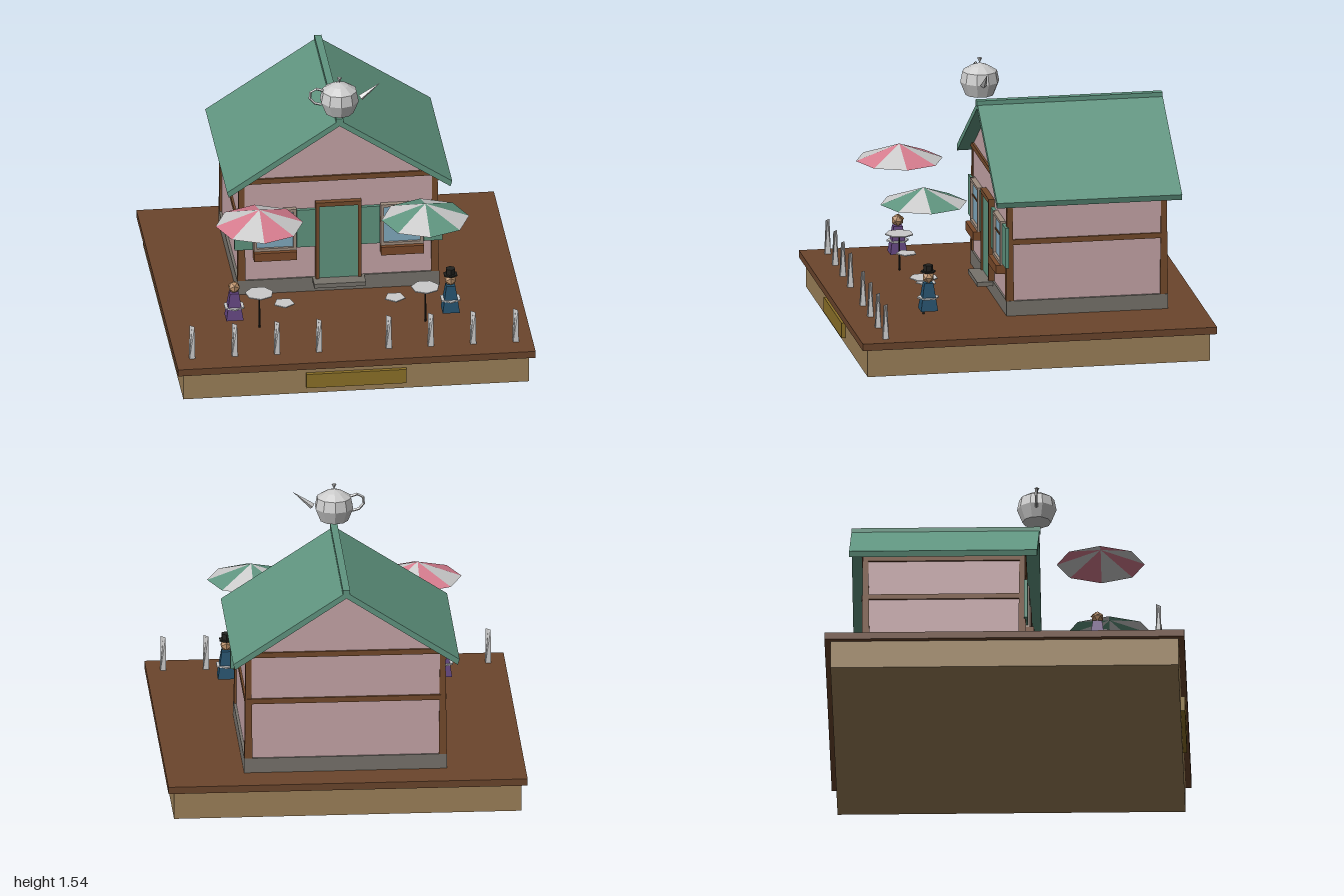
import * as THREE from 'three';

const C = { white: 0xcccccc, wall: 0xc6a5a8, green: 0x609580, wood: 0x744a2b, soil: 0x6b452c, tan: 0x9c8159,
  gold: 0x8c7128, stone: 0x77736c, glass: 0x82abc0, pink: 0xd67c8e, frame: 0xa08e80, purple: 0x62447e,
  blue: 0x23506c, black: 0x22221f, skin: 0xb98f68, hair: 0x8a6238, plant: 0x7a4a2a };

const mat = (color) => new THREE.MeshStandardMaterial({ color, flatShading: true, side: THREE.DoubleSide });

function add(parent, name, geo, color, x = 0, y = 0, z = 0) {
  const m = new THREE.Mesh(geo, mat(color));
  m.name = name;
  m.position.set(x, y, z);
  parent.add(m);
  return m;
}

// Box given by its min and max on each axis
function box(parent, name, color, x0, x1, y0, y1, z0, z1) {
  return add(parent, name, new THREE.BoxGeometry(x1 - x0, y1 - y0, z1 - z0), color,
    (x0 + x1) / 2, (y0 + y1) / 2, (z0 + z1) / 2);
}

function group(parent, name, x = 0, y = 0, z = 0) {
  const g = new THREE.Group();
  g.name = name;
  g.position.set(x, y, z);
  parent.add(g);
  return g;
}

// Front outline extruded between two depths
function prism(parent, name, color, pts, z0, z1) {
  const shape = new THREE.Shape(pts.map(([x, y]) => new THREE.Vector2(x, y)));
  const geo = new THREE.ExtrudeGeometry(shape, { depth: z1 - z0, bevelEnabled: false });
  return add(parent, name, geo, color, 0, 0, z0);
}

// Square foot closing to a diagonal ridge
function picketGeometry(r, h) {
  const geo = new THREE.BoxGeometry(2 * r, h, 2 * r);
  const p = geo.attributes.position;
  for (let i = 0; i < p.count; i++) {
    if (p.getY(i) < 0) continue;
    const x = p.getX(i), z = p.getZ(i);
    if (x * z < 0) p.setXYZ(i, 0, h / 2, 0);
    else p.setXYZ(i, x * 0.8, h / 2, z * 0.8);
  }
  geo.computeVertexNormals();
  return geo;
}

function buildHouse(root) {
  const house = group(root, 'house');
  box(house, 'foundation', C.stone, -0.565, 0.565, 0.2, 0.285, -0.8, 0.11);
  box(house, 'doorStep', C.stone, -0.145, 0.145, 0.26, 0.285, 0.1, 0.2);
  prism(house, 'walls', C.wall, [[-0.55, 0.285], [0.55, 0.285], [0.55, 0.885], [0, 1.245], [-0.55, 0.885]], -0.79, 0.1);
  prism(house, 'roof', C.green, [[0, 1.283], [-0.63, 0.87], [-0.62, 0.838], [0, 1.247], [0.62, 0.838], [0.63, 0.87]], -0.87, 0.175);
  box(house, 'ridgeBeam', C.green, -0.02, 0.02, 1.265, 1.295, -0.87, 0.18);

  // Timber posts and beams
  for (const sx of [-1, 1]) for (const z of [0.09, -0.78]) {
    const post = add(house, 'cornerPost', new THREE.CylinderGeometry(0.018, 0.026, 0.6, 4, 1, false, Math.PI / 4), C.wood, sx * 0.541, 0.585, z);
    post.scale.set(1.2, 1, 1.2);
  }
  for (const [y0, y1] of [[0.607, 0.637], [0.88, 0.91]]) {
    box(house, 'frontBeam', C.wood, -0.55, 0.55, y0, y1, 0.09, 0.112);
    box(house, 'backBeam', C.wood, -0.55, 0.55, y0, y1, -0.802, -0.78);
    for (const s of [-1, 1]) {
      const drop = y1 > 0.9 ? 0.04 : 0;
      box(house, 'sideBeam', C.wood, s * 0.55 - 0.011, s * 0.55 + 0.011, y0 - drop, y1 - drop, -0.79, 0.1);
    }
  }

  // Door
  box(house, 'door', C.green, -0.11, 0.11, 0.285, 0.735, 0.1, 0.122);
  for (const s of [-1, 1]) box(house, 'doorJamb', C.wood, s * 0.118 - 0.01, s * 0.118 + 0.01, 0.285, 0.755, 0.1, 0.133);
  box(house, 'doorLintel', C.wood, -0.128, 0.128, 0.73, 0.755, 0.1, 0.133);

  // Windows with shutters and flower boxes
  for (const s of [-1, 1]) {
    const w = group(house, 'window', s * 0.355, 0, 0);
    box(w, 'glass', C.glass, -0.11, 0.11, 0.47, 0.715, 0.1, 0.115);
    for (const x of [-0.11, 0.11]) box(w, 'windowFrame', C.frame, x - 0.009, x + 0.009, 0.47, 0.722, 0.1, 0.13);
    for (const y of [0.478, 0.713]) box(w, 'windowFrame', C.frame, -0.119, 0.119, y - 0.008, y + 0.008, 0.1, 0.13);
    box(w, 'glazingBar', C.wood, -0.1, 0.1, 0.62, 0.63, 0.1, 0.12);
    for (const x of [-0.174, 0.174]) box(w, 'shutter', C.green, x - 0.052, x + 0.052, 0.48, 0.71, 0.1, 0.12);
    box(w, 'flowerBox', C.plant, -0.12, 0.12, 0.42, 0.47, 0.1, 0.155);
  }
}

// Teapot standing over the front gable
function buildTeapot(root) {
  const pot = group(root, 'teapot', 0, 1.33, 0.16);
  const profile = [[0, 0], [0.08, 0], [0.11, 0.075], [0.098, 0.135], [0.05, 0.165], [0, 0.182]];
  add(pot, 'potBody', new THREE.LatheGeometry(profile.map(([x, y]) => new THREE.Vector2(x, y)), 10), C.white);
  add(pot, 'lidKnob', new THREE.ConeGeometry(0.014, 0.03, 4), C.white, 0, 0.195, 0).rotation.x = Math.PI;
  const spout = add(pot, 'spout', new THREE.ConeGeometry(0.018, 0.14, 4), C.white, 0.175, 0.125, 0);
  spout.rotation.z = -0.9;
  const path = new THREE.CatmullRomCurve3([[-0.1, 0.05], [-0.145, 0.065], [-0.168, 0.105], [-0.145, 0.148], [-0.09, 0.135]]
    .map(([x, y]) => new THREE.Vector3(x, y, 0)));
  add(pot, 'handle', new THREE.TubeGeometry(path, 5, 0.008, 4), C.white);
}

// Striped eight-panel canopy above a thin table and spare seat
function buildTerraceSet(root, color, x, z, seatX, seatZ) {
  const set = group(root, 'terraceSet', x, 0, z);
  const r = 0.245;
  for (let i = 0; i < 8; i++) {
    const panel = new THREE.ConeGeometry(r, 0.09, 1, 1, true, i * Math.PI / 4, Math.PI / 4);
    add(set, 'umbrellaPanel', panel, i % 2 ? C.white : color, 0, 0.885, 0);
  }
  add(set, 'tableTop', new THREE.CylinderGeometry(0.08, 0.08, 0.006, 7), C.white, 0, 0.41, 0);
  add(set, 'tableLeg', new THREE.CylinderGeometry(0.004, 0.006, 0.21, 4), C.black, 0, 0.305, 0);
  add(set, 'seat', new THREE.CylinderGeometry(0.06, 0.06, 0.006, 5), C.white, seatX - x, 0.335, seatZ - z);
}

function buildGuest(root, robe, hat, x, z) {
  const g = group(root, 'guest', x, 0, z);
  add(g, 'seat', new THREE.CylinderGeometry(0.062, 0.062, 0.008, 6), C.white, 0, 0.335, 0);
  add(g, 'robe', new THREE.CylinderGeometry(0.036, 0.068, 0.155, 4, 1, false, Math.PI / 4), robe, 0, 0.342, 0);
  add(g, 'head', new THREE.IcosahedronGeometry(0.035, 0), C.skin, 0, 0.45, 0);
  if (hat) {
    add(g, 'hatBrim', new THREE.CylinderGeometry(0.042, 0.042, 0.008, 6), C.black, 0, 0.483, 0);
    add(g, 'hatCrown', new THREE.CylinderGeometry(0.028, 0.026, 0.035, 6), C.black, 0, 0.503, 0);
  } else {
    add(g, 'hair', new THREE.ConeGeometry(0.034, 0.03, 6), C.hair, 0, 0.472, -0.005);
  }
}

export function createModel() {
  const root = new THREE.Group();
  root.name = 'teaHouse';

  // Plinth
  box(root, 'plinth', C.tan, -0.967, 0.967, 0, 0.16, -0.967, 0.967);
  box(root, 'ground', C.soil, -1, 1, 0.16, 0.2, -1, 1);
  box(root, 'plaque', C.gold, -0.28, 0.28, 0.04, 0.125, 0.96, 0.99);

  buildHouse(root);
  buildTeapot(root);
  buildTerraceSet(root, C.pink, -0.49, 0.525, -0.35, 0.51);
  buildTerraceSet(root, C.green, 0.435, 0.555, 0.27, 0.51);
  buildGuest(root, C.purple, false, -0.63, 0.51);
  buildGuest(root, C.blue, true, 0.575, 0.555);

  // Fence pickets
  for (const s of [-1, 1]) for (const x of [0.195, 0.43, 0.667, 0.905]) {
    add(root, 'picket', picketGeometry(0.016, 0.195), C.white, s * x, 0.2975, 0.855);
  }
  return root;
}
